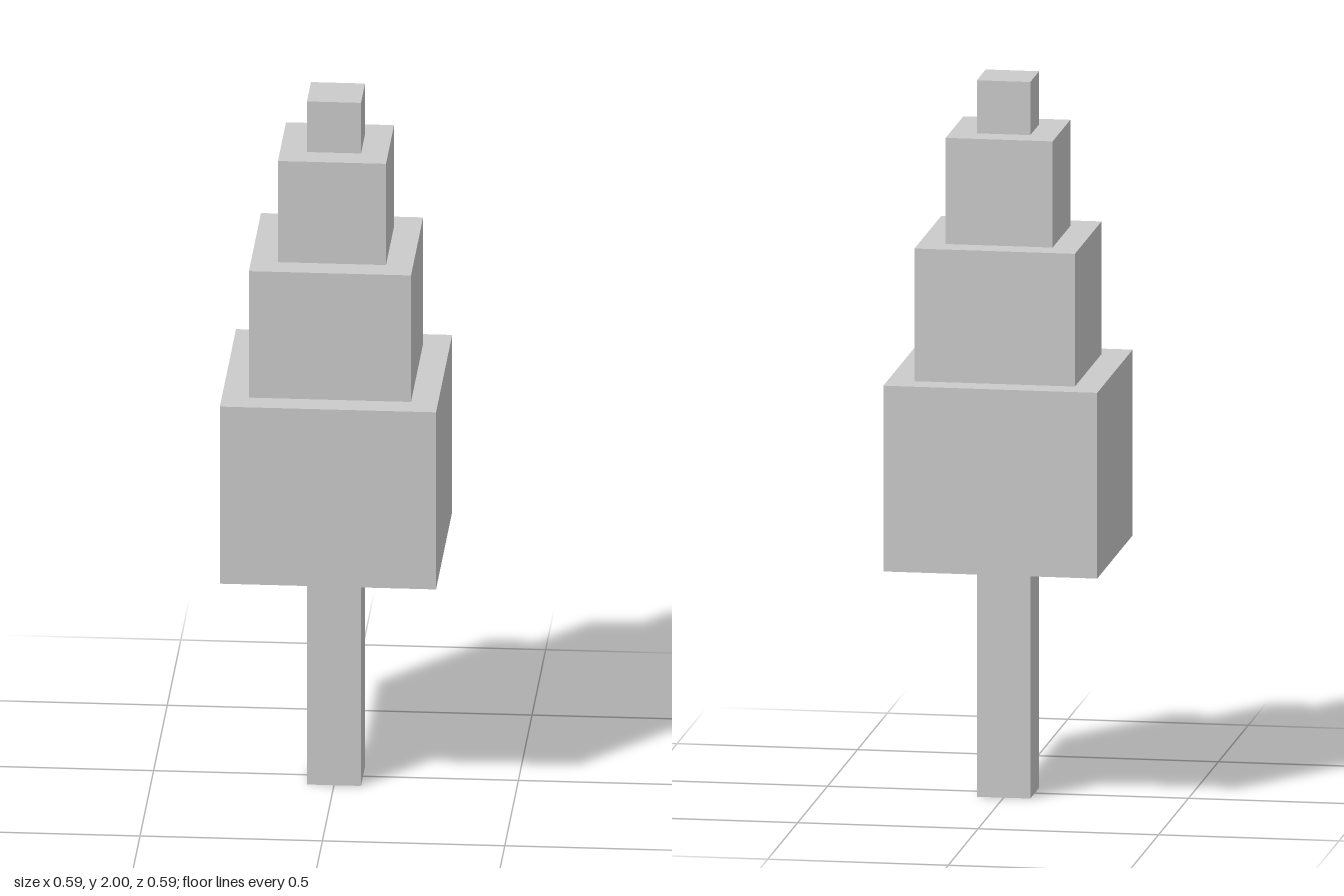
import * as THREE from 'three';

// The whole tree sits on a grid of 27 equal steps over its height.
const STEP = 2 / 27;

// Square blocks from the ground up: name, width and height in grid steps
const BLOCKS = [
  ['trunk', 2, 9],
  ['lowerFoliage', 8, 7],
  ['middleFoliage', 6, 5],
  ['upperFoliage', 4, 4],
  ['treetop', 2, 2],
];

export function createModel() {
  const tree = new THREE.Group();
  tree.name = 'blockTree';
  const material = new THREE.MeshStandardMaterial({ color: 0xcccccc, flatShading: true });

  // Stack each block on top of the one before
  let base = 0;
  for (const [name, width, height] of BLOCKS) {
    const w = width * STEP;
    const h = height * STEP;
    const block = new THREE.Mesh(new THREE.BoxGeometry(w, h, w), material);
    block.name = name;
    block.position.y = base + h / 2;
    tree.add(block);
    base += h;
  }
  return tree;
}
